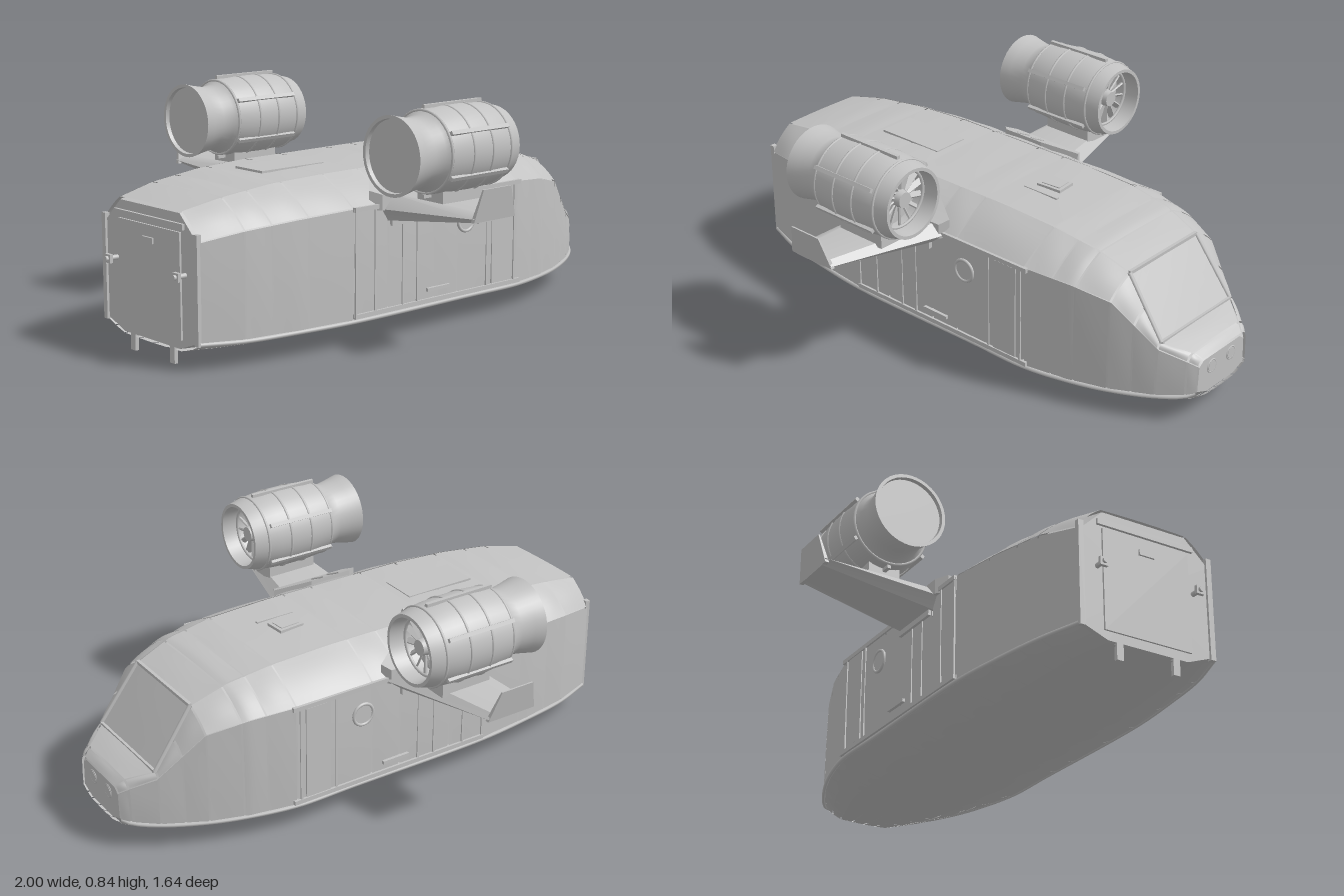
import * as THREE from 'three';
import { toCreasedNormals } from 'three/addons/utils/BufferGeometryUtils.js';

// Hull stations: x, then half-section [y, z] at roof edge, shoulder, chine, keel edge
const STATIONS = [
  [-0.95, [0.52, 0.17], [0.43, 0.265], [0.09, 0.265], [0.05, 0.16]],
  [-0.8, [0.55, 0.19], [0.455, 0.312], [0.085, 0.312], [0.045, 0.19]],
  [-0.6, [0.572, 0.2], [0.47, 0.345], [0.085, 0.345], [0.04, 0.2]],
  [-0.38, [0.58, 0.21], [0.48, 0.37], [0.085, 0.368], [0.04, 0.21]],
  [0.2, [0.583, 0.21], [0.48, 0.37], [0.085, 0.368], [0.04, 0.21]],
  [0.43, [0.575, 0.21], [0.48, 0.37], [0.085, 0.368], [0.04, 0.21]],
  [0.6, [0.55, 0.2], [0.465, 0.335], [0.085, 0.335], [0.045, 0.2]],
  [0.735, [0.5, 0.185], [0.43, 0.287], [0.085, 0.29], [0.045, 0.18]],
  [0.885, [0.295, 0.195], [0.275, 0.215], [0.09, 0.22], [0.055, 0.13]],
  [0.97, [0.26, 0.13], [0.235, 0.16], [0.1, 0.165], [0.065, 0.1]],
  [1.0, [0.235, 0.11], [0.215, 0.135], [0.11, 0.14], [0.085, 0.08]],
];
const SEAMS = [-0.95, -0.8, -0.7, -0.56, -0.38, -0.22, 0, 0.12, 0.43, 0.535, 0.62, 0.735, 0.81, 0.885, 0.97, 1.0];
const lerp = THREE.MathUtils.lerp;

// Half-section at any x
function half(x) {
  let i = 0;
  while (i < STATIONS.length - 2 && x > STATIONS[i + 1][0]) i++;
  const a = STATIONS[i], b = STATIONS[i + 1], t = (x - a[0]) / (b[0] - a[0]);
  return [1, 2, 3, 4].map(k => [lerp(a[k][0], b[k][0], t), lerp(a[k][1], b[k][1], t)]);
}
// Full ring of eight [y, z] corners, starting at the +z roof edge
function ring(x) {
  const h = half(x);
  return [...h, ...h.slice().reverse().map(([y, z]) => [y, -z])];
}

function gridGeometry(rows, closed) {
  const pos = [], idx = [], n = rows[0].length;
  rows.forEach(r => r.forEach(p => pos.push(...p)));
  for (let i = 0; i < rows.length - 1; i++)
    for (let j = 0; j < (closed ? n : n - 1); j++) {
      const a = i * n + j, c = i * n + (j + 1) % n;
      idx.push(a, c, c + n, a, c + n, a + n);
    }
  const g = new THREE.BufferGeometry();
  g.setAttribute('position', new THREE.Float32BufferAttribute(pos, 3));
  g.setIndex(idx);
  g.computeVertexNormals();
  return g;
}
// Closed solid through a list of rings, capped at both ends
function loft(rings, crease = 0.5) {
  const mid = r => r.map(() => [0, 1, 2].map(k => r.reduce((s, p) => s + p[k], 0) / r.length));
  return toCreasedNormals(gridGeometry([mid(rings[0]), ...rings, mid(rings.at(-1))], true), crease);
}
// Gently pillowed hull plate on ring edge k between two seams
function plate(x0, x1, k, v0, v1) {
  const gap = 0.003, N = 6, rows = [];
  const bulge = k % 4 === 1 ? 0.003 : k === 0 || k === 6 ? 0.01 : 0.005;
  for (let i = 0; i <= N; i++) {
    const u = i / N, x = lerp(x0 + gap, x1 - gap, u), r = ring(x);
    const a = r[k], b = r[(k + 1) % 8];
    const ty = b[0] - a[0], tz = b[1] - a[1], len = Math.hypot(ty, tz), m = gap / len;
    rows.push(Array.from({ length: N + 1 }, (_, j) => {
      const v = lerp(v0 + m, v1 - m, j / N);
      const o = bulge * Math.sin(Math.PI * v) * (0.6 + 0.4 * Math.sin(Math.PI * u));
      return [x, a[0] + ty * v + o * tz / len, a[1] + tz * v - o * ty / len];
    }));
  }
  return gridGeometry(rows, false);
}

export function createModel() {
  const model = new THREE.Group();
  model.name = 'dropship';
  const grey = new THREE.MeshStandardMaterial({ color: 0xc2c2c2, side: THREE.DoubleSide });
  grey.name = 'hull grey';

  const add = (parent, name, geo, x = 0, y = 0, z = 0) => {
    const m = new THREE.Mesh(geo, grey);
    m.name = name;
    m.position.set(x, y, z);
    parent.add(m);
    return m;
  };
  const box = (p, name, sx, sy, sz, x, y, z) => add(p, name, new THREE.BoxGeometry(sx, sy, sz), x, y, z);
  const rod = (p, name, pts, r) => add(p, name, new THREE.TubeGeometry(
    new THREE.CatmullRomCurve3(pts.map(q => new THREE.Vector3(...q))), pts.length * 6, r, 6));

  // Inner hull, slightly inside the plates
  add(model, 'innerHull', loft(STATIONS.map(([x]) => {
    const r = ring(x), cy = (r[0][0] + r[3][0]) / 2;
    const sy = 1 - 0.008 / (r[0][0] - cy), sz = 1 - 0.008 / r[1][1];
    return r.map(([y, z]) => [Math.min(x, 0.996), cy + (y - cy) * sy, z * sz]);
  })));

  // Hull plates
  const plates = new THREE.Group();
  plates.name = 'hullPlates';
  model.add(plates);
  for (let i = 0; i < SEAMS.length - 1; i++)
    for (let k = 0; k < 8; k++) {
      if (k === 7 && SEAMS[i] === 0.81) continue;
      const glass = k === 7 && SEAMS[i] === 0.735;
      const cuts = k === 3 ? 4 : k === 2 || k === 4 ? 2 : 1;
      for (let c = 0; c < cuts; c++)
        add(plates, glass ? 'windshield' : 'hullPlate',
          plate(SEAMS[i], glass ? 0.885 : SEAMS[i + 1], k, c / cuts, (c + 1) / cuts));
    }

  // Windshield cross bars
  for (const x of [0.735, 0.885]) {
    const [y, z] = half(x)[0];
    box(model, 'windshieldBar', 0.012, 0.012, z * 2, x, y, 0);
  }

  // Roof hatch and roof panels
  const hatch = box(model, 'roofHatch', 0.1, 0.016, 0.08, 0.245, 0.587, -0.01);
  hatch.rotation.y = 0.08;
  const lid = box(model, 'hatchLid', 0.075, 0.02, 0.055, 0.245, 0.588, -0.01);
  lid.rotation.y = 0.08;
  box(model, 'roofPanel', 0.28, 0.008, 0.145, -0.39, 0.584, 0);
  box(model, 'roofStrip', 0.15, 0.008, 0.012, 0.245, 0.585, 0.065);

  // Rear door with its frame, latch and hinges
  box(model, 'rearDoor', 0.014, 0.36, 0.34, -0.95, 0.27, 0);
  box(model, 'rearLatch', 0.012, 0.02, 0.06, -0.958, 0.4, 0);
  box(model, 'rearLintel', 0.014, 0.02, 0.38, -0.953, 0.47, 0);

  // Everything mirrored left and right
  for (const s of [1, -1]) {
    const side = new THREE.Group();
    side.name = s > 0 ? 'leftSide' : 'rightSide';
    side.scale.z = s;
    model.add(side);

    // Rails, windshield frame and side door
    rod(side, 'chineRail', STATIONS.map(([x, , , c]) => [Math.min(x, 0.992), c[0] + 0.002, c[1] - 0.002]), 0.008);
    rod(side, 'windshieldFrame', [0.735, 0.81, 0.885].map(x => { const q = half(x)[0]; return [x, ...q]; }), 0.008);
    box(side, 'upperDoorRail', 0.82, 0.016, 0.014, 0.035, 0.475, 0.37);
    box(side, 'lowerDoorRail', 0.82, 0.016, 0.014, 0.035, 0.105, 0.37);
    for (const x of [-0.37, -0.28, -0.15, -0.08, 0.27, 0.415])
      box(side, 'doorRib', 0.008, 0.36, 0.008, x, 0.29, 0.371);
    box(side, 'doorPanel', 0.1, 0.35, 0.006, 0.345, 0.29, 0.372);
    box(side, 'doorHandle', 0.11, 0.012, 0.014, 0.02, 0.145, 0.374);
    add(side, 'portholeRim', new THREE.TorusGeometry(0.04, 0.006, 8, 32), 0.16, 0.37, 0.374);
    add(side, 'portholeGlass', new THREE.CircleGeometry(0.04, 32), 0.16, 0.37, 0.3755);

    // Rear posts, pins and feet
    box(side, 'rearPost', 0.018, 0.37, 0.02, -0.95, 0.27, 0.255);
    const pin = add(side, 'rearPin', new THREE.CylinderGeometry(0.009, 0.009, 0.06, 12), -0.97, 0.31, 0.19);
    pin.rotation.z = Math.PI / 2;
    box(side, 'pinHead', 0.012, 0.03, 0.03, -0.985, 0.31, 0.19);
    box(side, 'rearFoot', 0.014, 0.09, 0.026, -0.943, 0.045, 0.11);

    // Headlight
    const lamp = add(side, 'headlight', new THREE.CylinderGeometry(0.02, 0.02, 0.01, 20), 0.994, 0.185, 0.055);
    lamp.rotation.z = Math.PI / 2;
    const rim = add(side, 'headlightRim', new THREE.TorusGeometry(0.023, 0.004, 6, 20), 0.995, 0.185, 0.055);
    rim.rotation.y = Math.PI / 2;

    // Wing, tip fin and root fairing
    const section = (z, pts) => pts.map(([x, y]) => [x, y, z]);
    add(side, 'wing', loft([
      section(0.34, [[0.07, 0.47], [0.03, 0.51], [-0.2, 0.512], [-0.25, 0.46], [-0.22, 0.415], [0, 0.415]]),
      section(0.8, [[-0.05, 0.485], [-0.07, 0.503], [-0.2, 0.503], [-0.245, 0.488], [-0.22, 0.473], [-0.09, 0.473]]),
    ]));
    const finRing = (y, x0, x1, z0, z1) => [[x1, y, z1], [x1, y, z0], [x0, y, z0], [x0, y, z1]];
    add(side, 'wingFin', loft([
      finRing(0.475, -0.245, -0.05, 0.785, 0.8),
      finRing(0.585, -0.22, -0.09, 0.812, 0.818),
    ]));
    const rect = (z, x0, x1, y0, y1) => section(z, [[x1, y0], [x1, y1], [x0, y1], [x0, y0]]);
    add(side, 'wingFairing', loft([
      rect(0.275, -0.22, -0.05, 0.5, 0.565),
      rect(0.35, -0.29, 0.07, 0.46, 0.528),
      rect(0.385, -0.26, 0.05, 0.46, 0.515),
    ]));
    for (const x of [-0.17, -0.1])
      rod(side, 'fairingRib', [[x, 0.565, 0.28], [x, 0.53, 0.35]], 0.004);
    box(side, 'wingBracket', 0.21, 0.03, 0.02, -0.105, 0.415, 0.372);

    // Engine, axis along x
    const engine = new THREE.Group();
    engine.name = 'engine';
    engine.position.set(0, 0.68, 0.553);
    side.add(engine);
    box(engine, 'pylon', 0.2, 0.06, 0.12, -0.1, -0.155, 0);
    const profile = [[0, -0.365], [0.122, -0.365], [0.124, -0.38], [0.136, -0.38], [0.127, -0.34], [0.118, -0.29],
      [0.124, -0.25], [0.142, -0.23], [0.148, -0.16], [0.149, -0.08], [0.146, -0.01], [0.14, 0.045], [0.127, 0.1],
      [0.115, 0.1], [0.11, 0.06], [0.11, 0], [0, 0]].map(p => new THREE.Vector2(...p));
    add(engine, 'nacelle', toCreasedNormals(
      new THREE.LatheGeometry(profile, 40).rotateZ(-Math.PI / 2), 0.6));
    for (const [x, r] of [[-0.235, 0.139], [-0.14, 0.147], [-0.05, 0.147], [0.045, 0.14]])
      add(engine, 'nacelleBand', new THREE.TorusGeometry(r, 0.005, 6, 40).rotateY(Math.PI / 2), x);
    for (let i = 0; i < 6; i++) {
      const a = Math.PI / 6 + i * Math.PI / 3;
      const bar = box(engine, 'nacelleBar', 0.27, 0.014, 0.012, -0.1, 0.151 * Math.sin(a), 0.151 * Math.cos(a));
      bar.rotation.x = -a;
    }
    // Fan
    for (let i = 0; i < 14; i++) {
      const blade = new THREE.BoxGeometry(0.022, 0.08, 0.006).rotateY(0.6).translate(0, 0.072, 0);
      add(engine, 'fanBlade', blade.rotateX(i * Math.PI / 7), 0.03);
    }
    add(engine, 'fanHub', new THREE.CylinderGeometry(0.028, 0.036, 0.06, 20).rotateZ(-Math.PI / 2), 0.03);
    add(engine, 'fanRim', new THREE.TorusGeometry(0.106, 0.006, 6, 36).rotateY(Math.PI / 2), 0.04);
  }
  return model;
}
